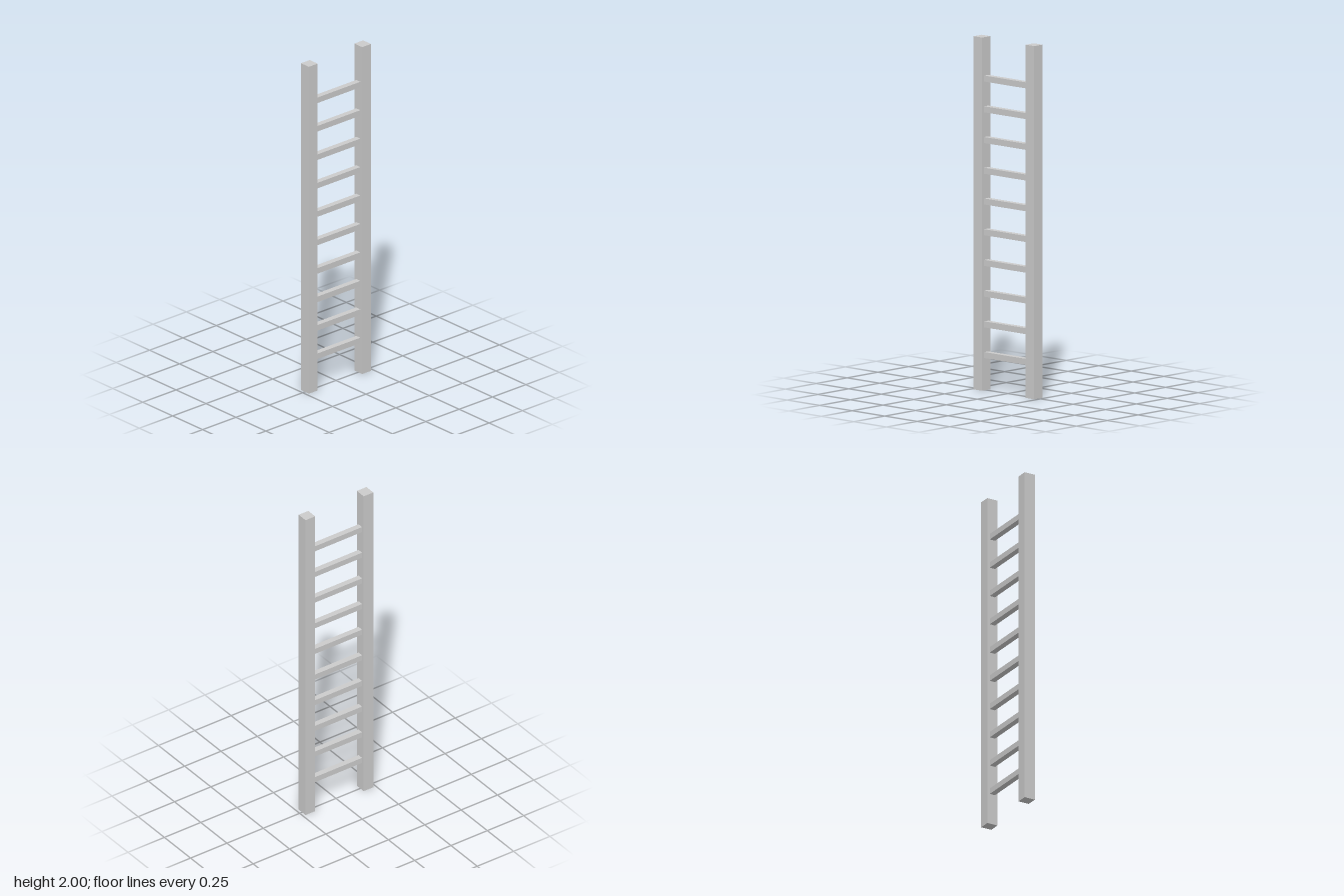
import * as THREE from 'three';

const HEIGHT = 2;
const RAIL = 0.066;        // square rail thickness
const RAIL_X = 0.2;        // rail centre offset
const RUNG = 0.034;        // square rung thickness
const RUNG_COUNT = 10;
const FIRST_RUNG = 0.2;
const RUNG_STEP = 0.174;

export function createModel() {
  const ladder = new THREE.Group();
  ladder.name = 'ladder';
  const material = new THREE.MeshStandardMaterial({ color: 0xcccccc, flatShading: true });

  const addPart = (name, geometry, x, y) => {
    const mesh = new THREE.Mesh(geometry, material);
    mesh.name = name;
    mesh.position.set(x, y, 0);
    ladder.add(mesh);
  };

  // Side rails
  const railGeometry = new THREE.BoxGeometry(RAIL, HEIGHT, RAIL);
  addPart('leftRail', railGeometry, RAIL_X, HEIGHT / 2);
  addPart('rightRail', railGeometry, -RAIL_X, HEIGHT / 2);

  // Evenly spaced rungs spanning the gap between the rails
  const rungGeometry = new THREE.BoxGeometry(2 * RAIL_X - RAIL, RUNG, RUNG);
  for (let i = 0; i < RUNG_COUNT; i++) {
    addPart(`rung${i + 1}`, rungGeometry, 0, FIRST_RUNG + i * RUNG_STEP);
  }

  return ladder;
}
